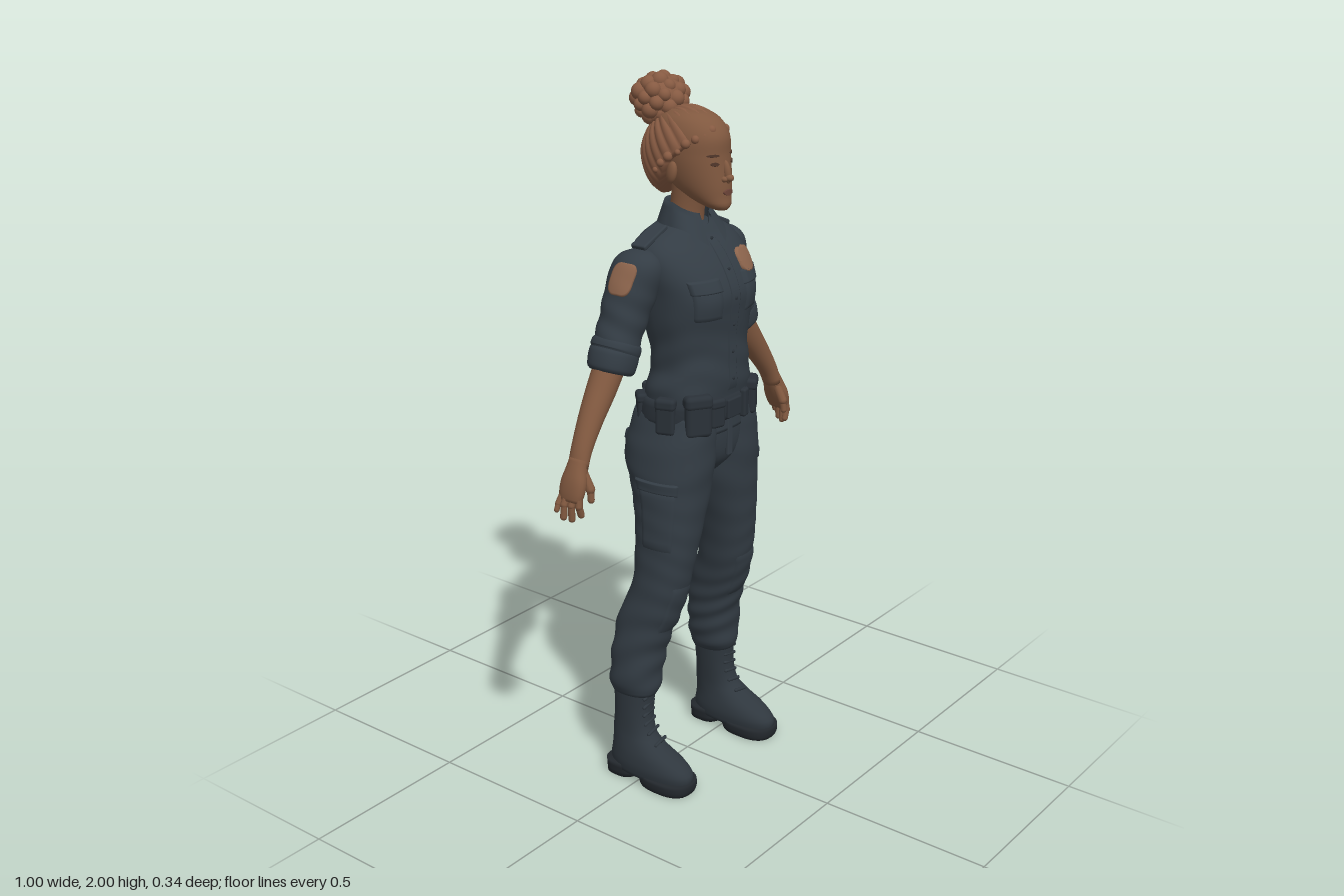
import * as THREE from 'three';
import { RoundedBoxGeometry } from 'three/addons/geometries/RoundedBoxGeometry.js';

const mat = (name, color, side = THREE.FrontSide) => new THREE.MeshStandardMaterial({ name, color, side });
const PI = Math.PI;
const bell = (d, w) => Math.exp(-(d / w) * (d / w));

// Smooth interpolation of rows [x, y, z, halfWidth, halfDepth] at height y
function rowAt(rows, y) {
  let i = 0;
  while (i < rows.length - 2 && y > rows[i + 1][1]) i++;
  const slope = (j, k) => {
    const lo = rows[Math.max(j - 1, 0)], hi = rows[Math.min(j + 1, rows.length - 1)];
    return (hi[k] - lo[k]) / (hi[1] - lo[1]);
  };
  const h = rows[i + 1][1] - rows[i][1], s = (y - rows[i][1]) / h;
  return [0, 2, 3, 4].map(k => (2 * s ** 3 - 3 * s * s + 1) * rows[i][k] + (3 * s * s - 2 * s ** 3) * rows[i + 1][k]
    + h * ((s ** 3 - 2 * s * s + s) * slope(i, k) + (s ** 3 - s * s) * slope(i + 1, k)));
}

// Surface through the rows; t = 0 is the model's left, t = PI/2 its front
function surface(rows, power = 2.2, fold = () => 1) {
  const pw = v => Math.sign(v) * Math.abs(v) ** (2 / power);
  const f = (y, t, out = 0) => {
    const [x, z, a, b] = rowAt(rows, y), k = fold(t, y);
    const lean = (rowAt(rows, y + 0.005)[0] - rowAt(rows, y - 0.005)[0]) / 0.01, n = 1 / Math.hypot(1, lean);
    const r = a * k * pw(Math.cos(t)) + out * Math.cos(t);
    return [x + n * r, y - n * lean * r, z + b * k * pw(Math.sin(t)) + out * Math.sin(t)];
  };
  f.range = [rows[0][1], rows[rows.length - 1][1]];
  return f;
}

// Mesh a function of (v, u) in 0..1; closed grids wrap in u and are capped
function grid(fn, nv, nu, closed) {
  const pos = [], idx = [], w = closed ? nu : nu + 1;
  for (let i = 0; i <= nv; i++) for (let j = 0; j < w; j++) pos.push(...fn(i / nv, j / nu));
  for (let i = 0; i < nv; i++) for (let j = 0; j < nu; j++) {
    const a = i * w + j, b = i * w + (j + 1) % w;
    idx.push(a, a + w, b, b, a + w, b + w);
  }
  if (closed) for (const row of [0, nv]) {
    const c = [0, 0, 0], m = pos.length / 3;
    for (let j = 0; j < w; j++) for (let k = 0; k < 3; k++) c[k] += pos[(row * w + j) * 3 + k] / w;
    pos.push(...c);
    for (let j = 0; j < w; j++) {
      const a = row * w + j, b = row * w + (j + 1) % w;
      idx.push(...(row ? [a, m, b] : [a, b, m]));
    }
  }
  const g = new THREE.BufferGeometry();
  g.setAttribute('position', new THREE.Float32BufferAttribute(pos, 3));
  g.setIndex(idx);
  g.computeVertexNormals();
  return g;
}

const loft = (s, nv = 24, nu = 32) =>
  grid((v, u) => s(s.range[0] + v * (s.range[1] - s.range[0]), u * 2 * PI), nv, nu, true);

// Raised rectangle lying on a surface, edges tucked in
const panel = (s, y0, y1, t0, t1, out, n = 12) => grid((v, u) => {
  const edge = v === 0 || v === 1 || u === 0 || u === 1;
  return s(y0 + v * (y1 - y0), t0 + u * (t1 - t0), edge ? -0.002 : out);
}, n, n, false);

// Rounded or lobed spot lying on a surface
const spot = (s, y, t, ry, rt, out, lobe = () => 1) => grid((v, u) => {
  const a = u * 2 * PI, r = Math.min(v * 1.1, 1) * lobe(a);
  return s(y + ry * r * Math.sin(a), t + rt * r * Math.cos(a), v === 1 ? -0.001 : out);
}, 10, 40, false);

function place(g, p, r = [0, 0, 0], s = [1, 1, 1]) {
  return g.applyMatrix4(new THREE.Matrix4().compose(new THREE.Vector3(...p),
    new THREE.Quaternion().setFromEuler(new THREE.Euler(...r)), new THREE.Vector3(...s)));
}
const ball = (p, s, r) => place(new THREE.SphereGeometry(1, 16, 12), p, r, s);
const box = (w, h, d, p, r) => place(new RoundedBoxGeometry(w, h, d, 2, Math.min(w, h, d) * 0.35), p, r);

function limb(p, q, r) {
  const a = new THREE.Vector3(...p), b = new THREE.Vector3(...q), d = b.clone().sub(a);
  const g = new THREE.CapsuleGeometry(r, d.length(), 4, 10);
  g.applyQuaternion(new THREE.Quaternion().setFromUnitVectors(new THREE.Vector3(0, 1, 0), d.normalize()));
  return g.translate(...a.add(b).multiplyScalar(0.5).toArray());
}

function mirrored(geo) {
  const g = geo.clone().scale(-1, 1, 1), n = g.attributes.position.count;
  const src = g.index ? Array.from(g.index.array) : Array.from({ length: n }, (_, i) => i);
  for (let i = 0; i < src.length; i += 3) [src[i + 1], src[i + 2]] = [src[i + 2], src[i + 1]];
  g.setIndex(src);
  return g;
}

export function createModel() {
  const model = new THREE.Group();
  const skin = mat('skin', 0x80583f), hair = mat('hair', 0x865a42);
  const cloth = mat('uniform cloth', 0x333c44, THREE.DoubleSide), gear = mat('belt leather', 0x2a3138);
  const boot = mat('boot leather', 0x2f373e), sole = mat('sole', 0x23282d);
  const tan = mat('badge tan', 0x8c644c, THREE.DoubleSide), dark = mat('brow brown', 0x50362a, THREE.DoubleSide);
  const lip = mat('lip', 0x6c4438, THREE.DoubleSide);
  const add = (name, g, m) => { const o = new THREE.Mesh(g, m); o.name = name; model.add(o); };
  const pair = (name, g, m) => { add(name + 'Left', g, m); add(name + 'Right', mirrored(g), m); };

  // Boots
  pair('boot', loft(surface([[.2, .025, .025, .056, .138], [.2, .055, .025, .06, .14], [.2, .085, .01, .056, .12],
    [.199, .11, -.015, .05, .093], [.197, .14, -.037, .046, .071], [.193, .2, -.044, .048, .059], [.187, .3, -.045, .055, .062]]), 26), boot);
  pair('sole', loft(surface([[.2, 0, .083, .058, .082], [.2, .015, .083, .062, .087], [.2, .035, .083, .061, .086]], 2.6), 4), sole);
  pair('heel', loft(surface([[.2, 0, -.07, .05, .05], [.2, .042, -.07, .053, .052]], 2.8), 3), sole);
  for (let i = 0; i < 6; i++) {
    const y = .125 + i * .027, z = [.056, .03, .018, .014, .014, .015][i];
    pair('lace', limb([.172, y + .008, z - .005], [.216, y, z - .003], .005), boot);
  }

  // Trousers
  const leg = surface([[.19, .265, -.045, .054, .066], [.187, .295, -.043, .067, .074], [.18, .36, -.04, .073, .075],
    [.17, .45, -.027, .072, .082], [.162, .52, -.006, .071, .086], [.152, .6, .022, .071, .081], [.14, .7, .032, .076, .088],
    [.125, .8, .033, .088, .098], [.108, .9, .025, .102, .115], [.101, .97, .017, .105, .13], [.09, 1.04, .02, .1, .128],
    [.082, 1.1, .025, .09, .12]], 2.2,
  (t, y) => 1 + (.008 + .03 * bell(y - .38, .15)) * Math.sin(y * 80 + 3 * Math.sin(t + y * 8)));
  pair('trouserLeg', loft(leg, 90, 40), cloth);
  add('hips', loft(surface([[0, .92, .025, .035, .07], [0, .96, .022, .12, .108], [0, 1.02, .02, .182, .124], [0, 1.1, .026, .172, .121]]), 12), cloth);
  pair('cargoPocket', panel(leg, .72, .9, -.3, .75, .005), cloth);
  pair('cargoFlap', panel(leg, .885, .925, -.35, .8, .009), cloth);
  pair('backPocket', panel(leg, .93, 1.02, 4.3, 5.2, .003), cloth);
  pair('backPocketFlap', panel(leg, 1.0, 1.03, 4.27, 5.23, .006), cloth);
  pair('kneePatch', panel(leg, .47, .62, 1.0, 2.2, .003), cloth);
  add('fly', box(.022, .11, .01, [0, 1.03, .144]), cloth);

  // Shirt
  const shirt = surface([[0, 1.05, .027, .168, .12], [0, 1.14, .033, .162, .115], [0, 1.18, .038, .162, .115], [0, 1.23, .043, .147, .11], [0, 1.3, .037, .148, .113],
    [0, 1.38, .029, .161, .125], [0, 1.44, .025, .168, .132], [0, 1.5, .013, .178, .122], [0, 1.55, -.002, .174, .103],
    [0, 1.583, -.012, .145, .083], [0, 1.604, -.012, .095, .067], [0, 1.615, -.012, .065, .056]], 2.4,
  (t, y) => 1 + .06 * bell(y - 1.41, .065) * (bell(t - 1.08, .4) + bell(t - 2.06, .4))
    + .014 * bell(y - 1.24, .1) * Math.sin(y * 75 + 3 * Math.sin(2 * t)));
  add('shirt', loft(shirt, 70, 56), cloth);
  add('placket', panel(shirt, 1.16, 1.58, 1.5, 1.64, .003, 24), cloth);
  for (let y = 1.2; y < 1.58; y += .075) add('button', ball(shirt(y, PI / 2, .003), [.005, .005, .003]), gear);
  pair('chestPocket', panel(shirt, 1.375, 1.465, .72, 1.35, .004), cloth);
  pair('pocketFlap', panel(shirt, 1.45, 1.488, .7, 1.38, .008), cloth);
  add('backYoke', panel(shirt, 1.5, 1.575, PI + .35, 2 * PI - .35, .003, 20), cloth);
  add('chestBadge', spot(shirt, 1.508, 1.1, .033, .24, .008, a => 1 + .07 * Math.cos(4 * a + PI) - .1 * bell(a - PI / 2, .3)), tan);
  pair('epaulette', box(.105, .014, .048, [.137, 1.59, -.02], [0, 0, -.4]), cloth);

  // Folded collar with pointed tips, open at the throat
  add('collar', grid((v, u) => {
    const t = PI / 2 + .32 + u * (2 * PI - .64), f = Math.max(0, Math.sin(t));
    const top = 1.67 - .03 * f, k = Math.abs(v - .5) * 2;
    const low = v < .5 ? 1.595 : 1.61 - .06 * f ** 4;
    const r = v < .5 ? .06 - .002 * k : .06 + (.02 + .03 * f) * k;
    return [r * Math.cos(t), top + (low - top) * k, -.002 + r * Math.sin(t)];
  }, 8, 40, false), cloth);

  // Sleeves with rolled cuffs
  const sleeve = surface([[.276, 1.26, -.04, .057, .058], [.262, 1.3, -.04, .06, .06], [.23, 1.38, -.037, .062, .063],
    [.203, 1.45, -.032, .066, .069], [.178, 1.51, -.025, .065, .073], [.165, 1.54, -.022, .047, .06], [.157, 1.558, -.02, .02, .03]], 2.1,
  (t, y) => 1 + .03 * bell(y - 1.36, .1) * Math.sin(y * 100 + 2 * Math.sin(t)));
  pair('sleeve', loft(sleeve, 50), cloth);
  pair('cuff', loft(surface([[.281, 1.25, -.04, .054, .054], [.278, 1.258, -.04, .062, .062], [.263, 1.3, -.04, .065, .065], [.258, 1.315, -.04, .057, .058]]), 12), cloth);
  pair('cuffRoll', loft(surface([[.265, 1.295, -.04, .06, .06], [.258, 1.308, -.04, .066, .066], [.252, 1.325, -.04, .064, .064], [.249, 1.332, -.04, .057, .057]]), 10), cloth);
  add('sleevePatch', mirrored(spot(sleeve, 1.475, .15, .043, .5, .006, a => 1 + .08 * Math.cos(4 * a + PI))), tan);

  // Forearms and hands
  pair('forearm', loft(surface([[.437, 1.035, -.022, .022, .03], [.417, 1.08, -.025, .026, .03], [.37, 1.15, -.032, .034, .035],
    [.316, 1.22, -.038, .041, .041], [.262, 1.3, -.04, .042, .044]], 2), 20, 24), skin);
  pair('palm', loft(surface([[.473, .95, -.02, .014, .034], [.467, .97, -.02, .019, .039], [.456, 1.0, -.02, .023, .039],
    [.443, 1.03, -.021, .023, .031], [.432, 1.055, -.022, .021, .027]], 2.3), 14, 20), skin);
  // Front to back: z, tip height, tip x
  [[.009, .912, .464], [-.011, .9, .478], [-.031, .904, .488], [-.049, .922, .494]].forEach(([z, y, x], i) => {
    const mid = [(x + .473) / 2 + .004, .942, z], r = i === 3 ? .0085 : .0105;
    pair('fingerBase', limb([.468, .972, z * .9 - .002], mid, r), skin);
    pair('fingerTip', limb(mid, [x, y + .004, z], r - .001), skin);
  });
  pair('thumbBase', limb([.438, 1.02, -.002], [.437, .982, .019], .013), skin);
  pair('thumbTip', limb([.437, .982, .019], [.438, .953, .022], .0095), skin);

  // Duty belt with pouches and keepers
  add('belt', loft(surface([[0, 1.083, .027, .172, .122], [0, 1.088, .027, .178, .128], [0, 1.145, .031, .174, .125], [0, 1.15, .031, .168, .119]], 2.3), 8, 48), gear);
  add('buckle', box(.06, .055, .014, [0, 1.117, .157]), gear);
  const pouches = [[2.3, .075, .115, .04], [1.95, .045, .08, .026], [.85, .065, .1, .04], [1.25, .03, .08, .02], [.2, .05, .09, .022],
    [2.9, .055, .1, .03], [5.7, .05, .08, .024], [3.75, .05, .08, .024], [4.3, .022, .085, .014], [4.71, .022, .085, .014], [5.12, .022, .085, .014]];
  for (const [t, w, h, d] of pouches) {
    const c = Math.cos(t), s = Math.sin(t), turn = Math.atan2(c / .176, s / .127);
    const p = [.177 * c, 1.115, .028 + .131 * s];
    add('beltPouch', box(w, h, d, p, [0, turn, 0]), gear);
    if (w > .04) add('pouchFlap', box(w + .004, h * .35, d + .006, [p[0], 1.115 + h * .36, p[2]], [0, turn, 0]), gear);
  }

  // Neck, head and face
  add('neck', loft(surface([[0, 1.57, -.01, .052, .05], [0, 1.65, 0, .045, .047], [0, 1.74, .015, .046, .055]], 2), 8), skin);
  const head = surface([[0, 1.657, .108, .017, .02], [0, 1.668, .095, .036, .04], [0, 1.69, .07, .053, .063], [0, 1.72, .045, .067, .087],
    [0, 1.76, .03, .077, .098], [0, 1.8, .02, .082, .104], [0, 1.85, .012, .081, .108], [0, 1.89, .005, .065, .085], [0, 1.91, 0, .04, .05]], 2.1);
  add('head', loft(head, 36, 40), skin);
  add('noseBridge', ball([0, 1.758, .129], [.01, .031, .012], [-.22, 0, 0]), skin);
  add('noseTip', ball([0, 1.743, .137], [.012, .01, .013]), skin);
  pair('nostril', ball([.011, 1.74, .128], [.009, .008, .011]), skin);
  pair('ear', ball([.083, 1.755, .012], [.012, .03, .018], [.2, .3, 0]), skin);
  pair('eye', spot(head, 1.781, 1.13, .005, .14, .003), dark);
  pair('brow', spot(head, 1.803, 1.1, .0035, .2, .003), dark);
  add('lips', spot(head, 1.705, PI / 2, .008, .26, .005), lip);

  // Cornrowed hair sweeping from hairline and nape up to the bun
  const hairPoint = (theta, phi, k = 1) => new THREE.Vector3(.1 * Math.sin(theta) * Math.cos(phi), .128 * Math.cos(theta),
    .131 * Math.sin(theta) * Math.sin(phi)).multiplyScalar(k).applyEuler(new THREE.Euler(-.65, 0, 0)).add(new THREE.Vector3(0, 1.79, -.004)).toArray();
  const hairEdge = phi => 1.62 + .36 * Math.max(0, -Math.sin(phi)) ** .7;
  add('hair', grid((v, u) => hairPoint(hairEdge(u * 2 * PI) * (1 - v) + .02, u * 2 * PI,
    .97 + .045 * Math.abs(Math.sin(u * 13 * 2 * PI)) * Math.min(1, 2 * (1 - v), .3 + 5 * v)), 24, 208, true), hair);
  for (let i = 0; i < 17; i++) {
    const s = .011 + .003 * Math.sin(i * 2.3);
    add('hairlineCurl', ball(hairPoint(1.6 + .03 * Math.sin(i * 4), -.35 + i * (PI + .7) / 16, .975), [s, s, s]), hair);
  }
  add('hairTie', place(new THREE.TorusGeometry(.042, .013, 8, 24), [0, 1.885, -.07], [PI / 2 - .5, 0, 0]), hair);
  add('bunCore', ball([0, 1.928, -.09], [.07, .06, .064]), hair);
  for (let i = 0; i < 42; i++) {
    const y = 1 - (i + .5) / 21, r = Math.sqrt(1 - y * y), a = i * 2.39996, s = .021 + .003 * Math.sin(i * 1.7);
    add('bunCurl', ball([.066 * r * Math.cos(a), 1.927 + .051 * y, -.092 + .055 * r * Math.sin(a)], [s, s, s]), hair);
  }
  return model;
}
